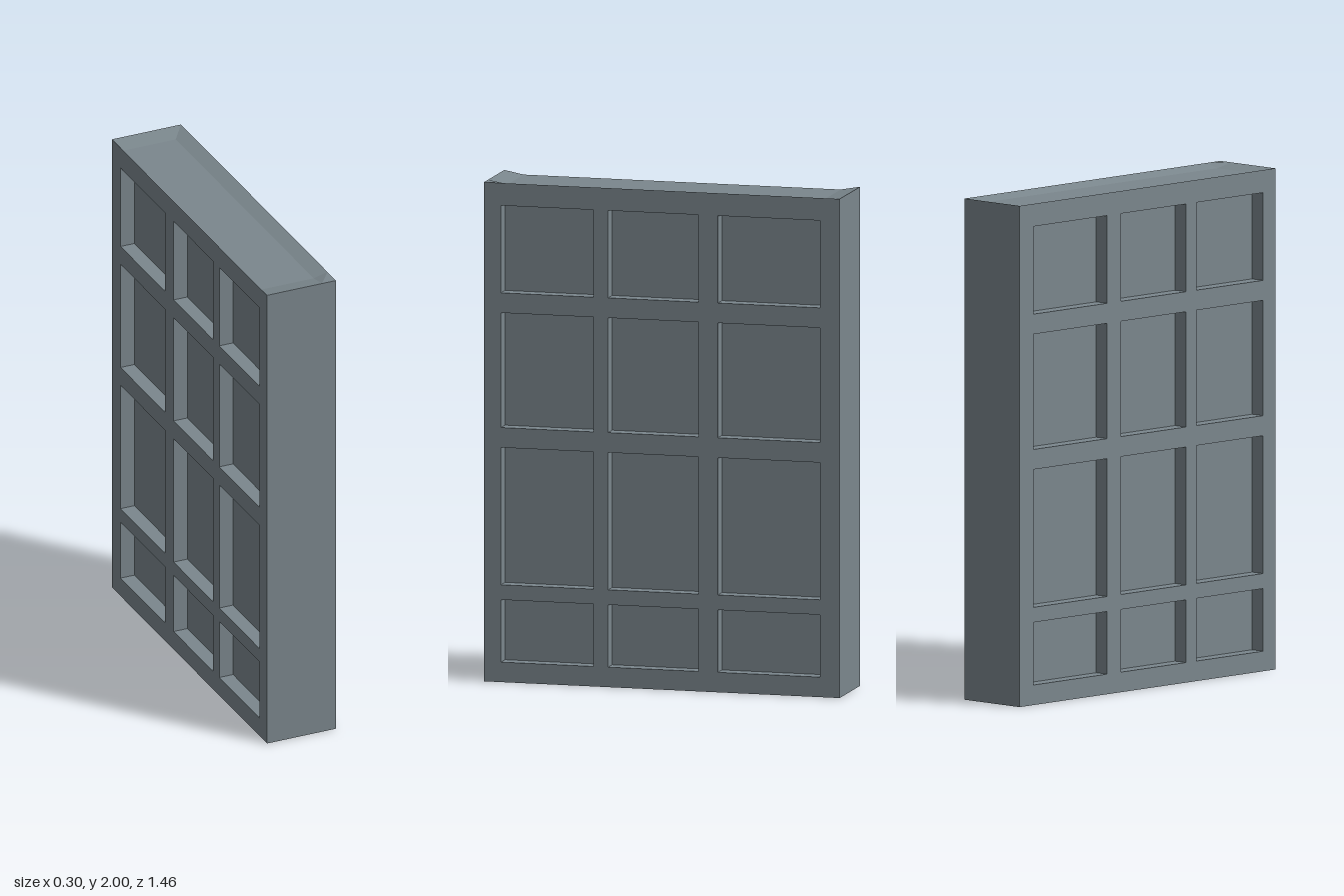
import * as THREE from 'three';

const W = 0.3, H = 2, D = 1.46, RECESS = 0.06, DISH = 0.015;
const columns = [[0.28, 0.66], [-0.15, 0.22], [-0.65, -0.23]]; // z ranges
const rows = [[0.08, 0.33], [0.39, 0.94], [1.02, 1.48], [1.56, 1.91]]; // y ranges

function rect(target, x0, x1, y0, y1) {
  target.moveTo(x0, y0);
  target.lineTo(x1, y0);
  target.lineTo(x1, y1);
  target.lineTo(x0, y1);
  target.closePath();
  return target;
}

// Box seen from inside, without its +z face
function pocketGeometry(w, h, d) {
  const g = new THREE.BoxGeometry(w, h, d);
  const index = Array.from(g.index.array).filter((_, i) => i < 24 || i >= 30);
  g.setIndex(index.reverse());
  g.clearGroups();
  g.computeVertexNormals();
  return g;
}

export function createModel() {
  const model = new THREE.Group();
  model.name = 'panelledSlab';
  const slate = new THREE.MeshStandardMaterial({ color: 0x7b878d });
  slate.name = 'slate grey';

  const add = (parent, name, geometry) => {
    const mesh = new THREE.Mesh(geometry, slate);
    mesh.name = name;
    parent.add(mesh);
    return mesh;
  };

  // Broad sides: a pierced face with a recessed pocket behind each opening
  for (const side of [1, -1]) {
    const panelSide = new THREE.Group();
    panelSide.name = side > 0 ? 'leftPanelSide' : 'rightPanelSide';
    panelSide.rotation.y = side * Math.PI / 2;
    model.add(panelSide);

    const face = rect(new THREE.Shape(), -D / 2, D / 2, 0, H);
    for (const [z0, z1] of columns) for (const [y0, y1] of rows) {
      const u0 = Math.min(-side * z0, -side * z1), u1 = u0 + z1 - z0;
      face.holes.push(rect(new THREE.Path(), u0, u1, y0, y1));
      add(panelSide, 'recessedPanel', pocketGeometry(u1 - u0, y1 - y0, RECESS))
        .position.set((u0 + u1) / 2, (y0 + y1) / 2, W / 2 - RECESS / 2);
    }
    add(panelSide, 'panelFrame', new THREE.ShapeGeometry(face)).position.z = W / 2;
  }

  // Narrow ends
  for (const side of [1, -1]) {
    const end = add(model, side > 0 ? 'frontEnd' : 'backEnd', new THREE.PlaneGeometry(W, H));
    end.position.set(0, H / 2, side * D / 2);
    if (side < 0) end.rotation.y = Math.PI;
  }

  // Underside
  add(model, 'underside', new THREE.PlaneGeometry(W, D)).rotation.x = Math.PI / 2;

  // Slightly dished top, rising to the ends and the left edge
  const top = new THREE.PlaneGeometry(W, D, 2, 3).rotateX(-Math.PI / 2);
  const p = top.attributes.position;
  const xs = [-W / 2, 0.09, W / 2], zs = [-D / 2, -0.65, 0.65, D / 2];
  for (let i = 0; i < p.count; i++) {
    const c = i % 3, r = Math.floor(i / 3);
    const low = c < 2 && (r === 1 || r === 2);
    p.setXYZ(i, xs[c], H - (low ? DISH : 0), zs[r]);
  }
  const flatTop = top.toNonIndexed();
  flatTop.computeVertexNormals();
  add(model, 'dishedTop', flatTop);

  return model;
}
